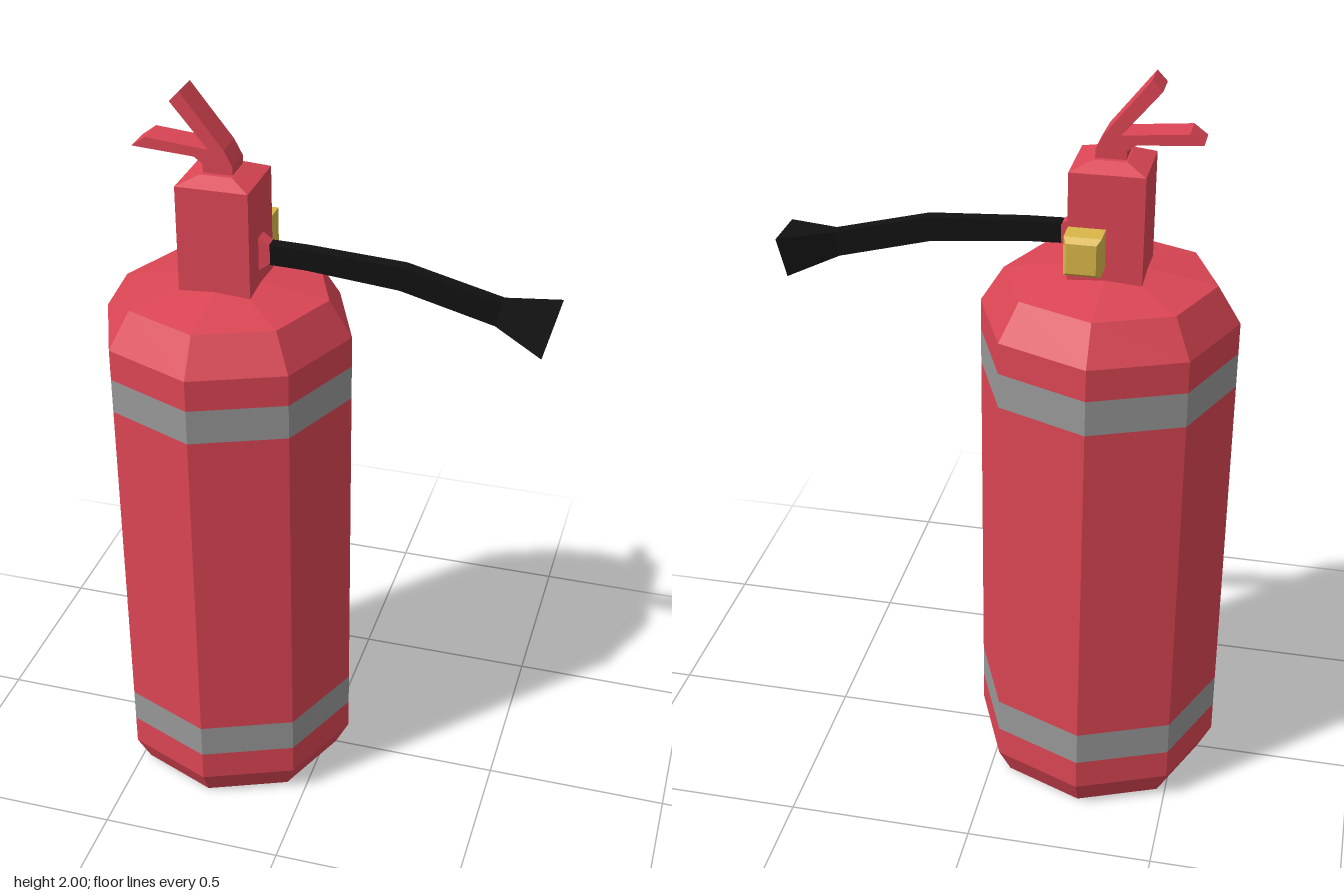
import * as THREE from 'three';

const paint = (color) => new THREE.MeshStandardMaterial({ color, flatShading: true });
const CX = -0.267; // axis of the tank

// Closed four-sided loft along +x; each section is [topX, topY, bottomX, bottomY, halfZ]
function loft(sections) {
  const rings = sections.map(([tx, ty, bx, by, h]) => [
    [tx, ty, -h], [tx, ty, h], [bx, by, h], [bx, by, -h],
  ]);
  const pos = [];
  const quad = (a, b, c, d) => [a, b, c, a, c, d].forEach((p) => pos.push(...p));
  for (let i = 0; i < rings.length - 1; i++) {
    for (let k = 0; k < 4; k++) {
      const n = (k + 1) % 4;
      quad(rings[i][k], rings[i][n], rings[i + 1][n], rings[i + 1][k]);
    }
  }
  quad(...[...rings[0]].reverse());
  quad(...rings[rings.length - 1]);
  const geo = new THREE.BufferGeometry();
  geo.setAttribute('position', new THREE.Float32BufferAttribute(pos, 3));
  geo.computeVertexNormals();
  return geo;
}

// Straight section at distance x with half height and half depth
const slab = (x, hy, hz) => [x, hy, x, -hy, hz];

export function createModel() {
  const group = new THREE.Group();
  const red = paint(0xdb4554);
  const grey = paint(0x989898);
  const black = paint(0x111111);
  const brass = paint(0xd9b649);

  const add = (name, geo, mat, x = 0, y = 0, z = 0) => {
    const mesh = new THREE.Mesh(geo, mat);
    mesh.name = name;
    mesh.position.set(x, y, z);
    group.add(mesh);
    return mesh;
  };

  // Eight-sided tank, split where the grey bands run
  const R = 0.336;
  const tank = [
    ['tankBase', red, [[0, 0], [0.298, 0], [R, 0.075], [R, 0.16]]],
    ['lowerBand', grey, [[R, 0.16], [R, 0.255]]],
    ['tankBody', red, [[R, 0.255], [R, 1.19]]],
    ['upperBand', grey, [[R, 1.19], [R, 1.285]]],
    ['tankShoulder', red, [[R, 1.285], [R, 1.37], [0.275, 1.468], [0.09, 1.5]]],
  ];
  for (const [name, mat, profile] of tank) {
    const points = profile.map(([r, y]) => new THREE.Vector2(r, y));
    add(name, new THREE.LatheGeometry(points, 8), mat, CX);
  }

  // Valve block with a tapered top
  const block = loft([slab(1.48, 0.095, 0.095), slab(1.775, 0.095, 0.095), slab(1.797, 0.042, 0.055)]);
  add('valveBlock', block.rotateZ(Math.PI / 2), red, CX);

  // Forked handle: upper lever and lower grip in one profile
  const outline = [
    [-0.305, 1.78], [-0.228, 1.78], [-0.228, 1.82], [-0.249, 1.86], [-0.36, 2.0],
    [-0.386, 1.973], [-0.29, 1.858], [-0.455, 1.873], [-0.49, 1.847], [-0.328, 1.836], [-0.305, 1.82],
  ].map(([x, y]) => new THREE.Vector2(x, y));
  const handle = new THREE.ExtrudeGeometry(new THREE.Shape(outline), { depth: 0.082, bevelEnabled: false });
  add('handle', handle, red, 0, 0, -0.041);

  // Hose socket on the side of the block
  add('hoseSocket', loft([slab(-0.18, 0.05, 0.022), slab(-0.143, 0.025, 0.018)]), red, 0, 1.583);

  // Bent hose and flared nozzle
  add('hose', loft([
    [-0.145, 1.61, -0.145, 1.556, 0.018],
    [-0.05, 1.608, -0.05, 1.553, 0.018],
    [0.205, 1.593, 0.195, 1.53, 0.018],
    [0.455, 1.53, 0.44, 1.466, 0.018],
  ]), black);
  add('nozzle', loft([
    [0.455, 1.53, 0.44, 1.466, 0.018],
    [0.594, 1.519, 0.568, 1.418, 0.068],
  ]), black);

  // Brass gauge on the back of the block
  const gauge = loft([slab(0.09, 0.051, 0.047), slab(0.156, 0.051, 0.047), slab(0.173, 0.039, 0.037)]);
  add('gauge', gauge.rotateY(Math.PI / 2), brass, -0.221, 1.584);

  return group;
}
